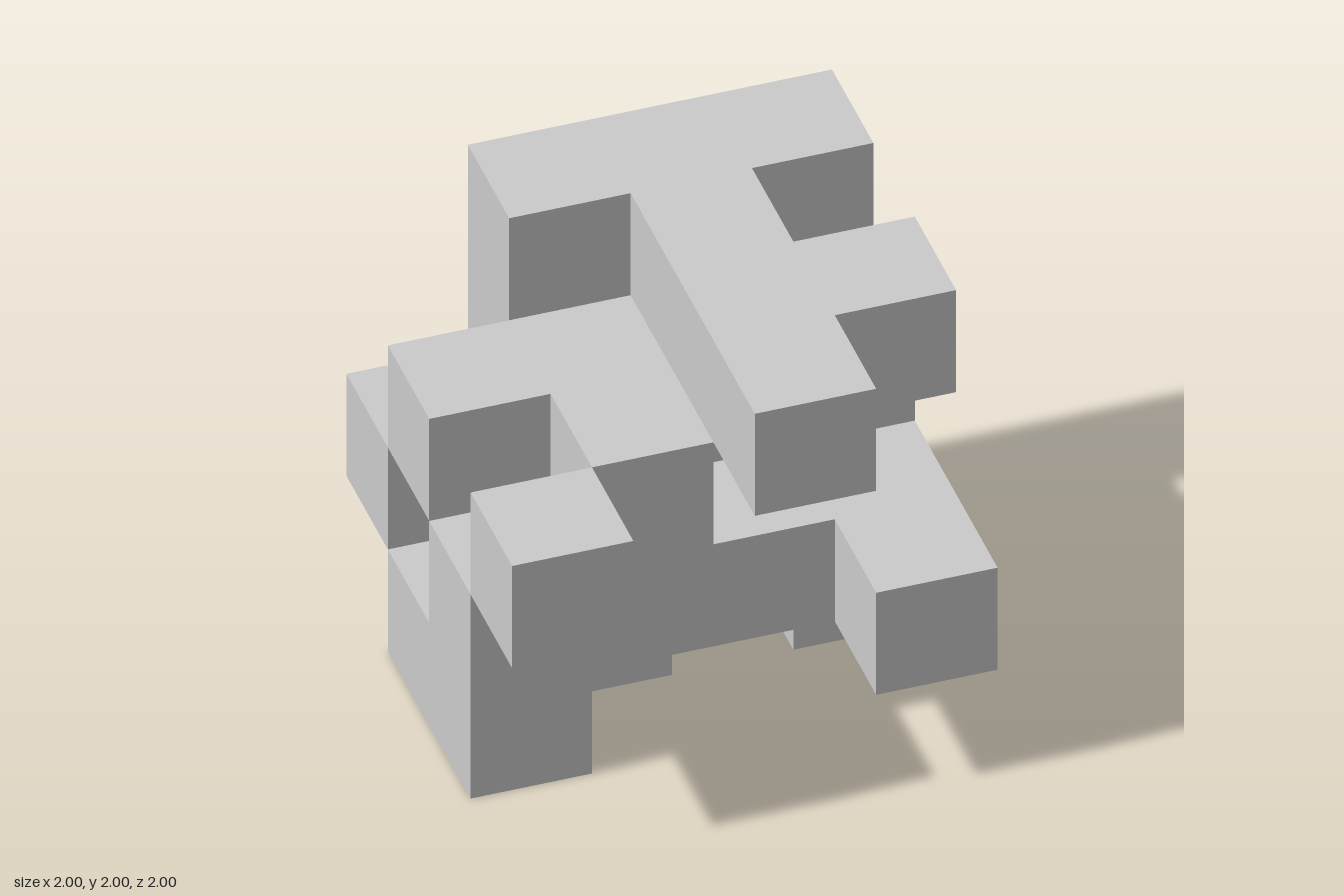
import * as THREE from 'three';
import { mergeGeometries } from 'three/addons/utils/BufferGeometryUtils.js';

const CELL = 0.5;

// Layers from bottom to top; rows run back to front, characters from -x to +x
const LAYERS = [
  ['.#..', '##.#', '#...', '....'],
  ['##.#', '.###', '####', '...#'],
  ['.#.#', '####', '.#..', '#...'],
  ['.###', '..#.', '..##', '..#.'],
];

const DIRECTIONS = [
  [1, 0, 0], [-1, 0, 0], [0, 1, 0], [0, -1, 0], [0, 0, 1], [0, 0, -1],
].map((d) => new THREE.Vector3(...d));

const filled = (x, y, z) => LAYERS[y]?.[z]?.[x] === '#';

// One square side of a cell, turned to face along dir
function cellFace(centre, dir) {
  const turn = new THREE.Quaternion().setFromUnitVectors(new THREE.Vector3(0, 0, 1), dir);
  const at = centre.clone().addScaledVector(dir, CELL / 2);
  return new THREE.PlaneGeometry(CELL, CELL).applyQuaternion(turn).translate(at.x, at.y, at.z);
}

export function createModel() {
  const faces = [];
  for (let y = 0; y < 4; y++) {
    for (let z = 0; z < 4; z++) {
      for (let x = 0; x < 4; x++) {
        if (!filled(x, y, z)) continue;
        const centre = new THREE.Vector3(x - 1.5, y + 0.5, z - 1.5).multiplyScalar(CELL);
        // Only sides with no neighbouring cell belong to the surface
        for (const d of DIRECTIONS) {
          if (!filled(x + d.x, y + d.y, z + d.z)) faces.push(cellFace(centre, d));
        }
      }
    }
  }

  const block = new THREE.Mesh(
    mergeGeometries(faces),
    new THREE.MeshStandardMaterial({ color: 0xcccccc, flatShading: true }),
  );
  block.name = 'cubeLatticeBlock';

  const model = new THREE.Group();
  model.name = 'blockSculpture';
  model.add(block);
  return model;
}
